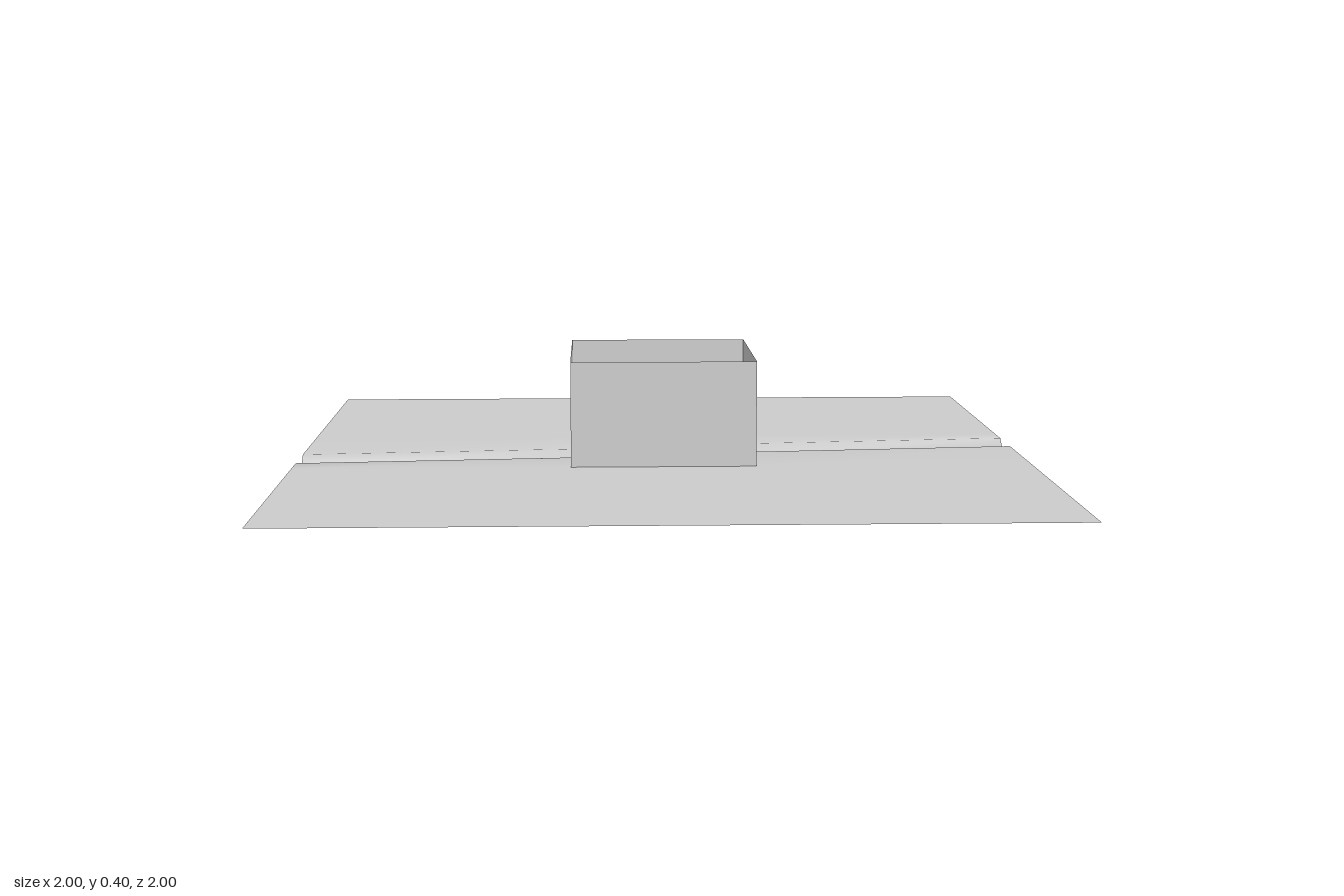
import * as THREE from 'three';
import { toCreasedNormals } from 'three/addons/utils/BufferGeometryUtils.js';

const GROUND = 0.115, BED = 0.01, HALF = 0.032;

// Centre line of the channel, as [x, z]
const path = [[-1, 0.097], [-0.25, 0.034], [0.25, -0.039], [1, -0.107]];

// Skin a surface over rows of [z, y] points, one row for each path station
function skin(section) {
  const pos = [], index = [];
  const n = section(0).length;
  path.forEach(([x, c], i) => {
    section(c).forEach(([z, y], j) => {
      pos.push(x, y, z);
      if (i < path.length - 1 && j < n - 1) {
        const a = i * n + j, b = a + n;
        index.push(a, a + 1, b, a + 1, b + 1, b);
      }
    });
  });
  const g = new THREE.BufferGeometry();
  g.setAttribute('position', new THREE.Float32BufferAttribute(pos, 3));
  g.setIndex(index);
  g.computeVertexNormals();
  return g;
}

export function createModel() {
  const model = new THREE.Group();
  const grey = new THREE.MeshStandardMaterial({ color: 0xcccccc, side: THREE.DoubleSide });
  grey.name = 'plain grey';
  const add = (name, geometry) => {
    const m = new THREE.Mesh(geometry, grey);
    m.name = name;
    model.add(m);
    return m;
  };

  // Ground on both sides, rounding over into the channel walls
  add('backBank', skin(c => [
    [-1, GROUND], [-0.25, GROUND], [c - HALF - 0.036, GROUND], [c - HALF, 0.088], [c - HALF, BED],
  ]));
  add('frontBank', skin(c => [
    [c + HALF, BED], [c + HALF, 0.088], [c + HALF + 0.036, GROUND], [0.25, GROUND], [1, GROUND],
  ]));
  add('channelBed', skin(c => [[c - HALF, BED], [c + HALF, BED]]));

  // Four thin walls, open above and below
  for (let i = 0; i < 4; i++) {
    const g = new THREE.PlaneGeometry(0.5, 0.4);
    g.translate(0, 0.2, 0.25);
    add('enclosureWall', g).rotation.y = i * Math.PI / 2;
  }

  // Eight-sided pillars
  for (const [x, z, turn] of [[-0.1, -0.16, 0.1], [0.105, -0.14, 0.3], [0.078, 0.12, 0.2], [-0.093, 0.197, 0.4]]) {
    const pillar = add('pillar', new THREE.CylinderGeometry(0.053, 0.053, 0.098, 8));
    pillar.position.set(x, 0.154, z);
    pillar.rotation.y = turn;
  }

  // Small arched bridge across the channel
  const arch = new THREE.Shape();
  arch.moveTo(-0.065, 0);
  arch.quadraticCurveTo(0, 0.08, 0.065, 0);
  arch.lineTo(0.045, 0);
  arch.quadraticCurveTo(0, 0.045, -0.045, 0);
  arch.closePath();
  const span = new THREE.ExtrudeGeometry(arch, { depth: 0.09, bevelEnabled: false, curveSegments: 10 });
  span.translate(0, 0, -0.045);
  span.rotateY(Math.PI / 2);
  const bridge = add('bridge', toCreasedNormals(span, 0.6));
  bridge.position.set(-0.11, 0.107, 0.015);
  bridge.rotation.y = 0.15;

  return model;
}
